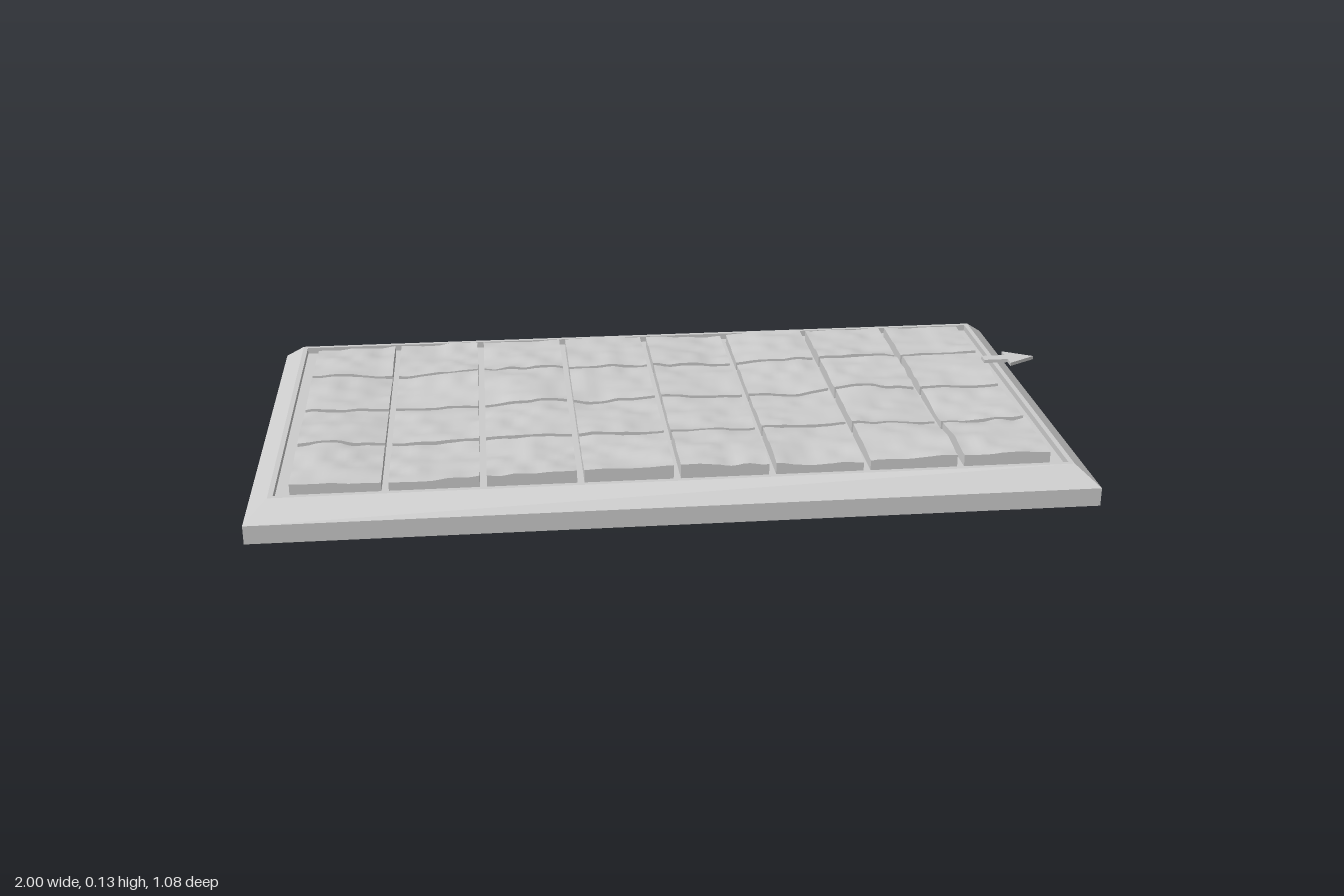
import * as THREE from 'three';

const CX = -0.012; // the slab sits slightly off centre because the arrow overhangs
const TILE_BOTTOM = 0.045;
const grey = new THREE.MeshStandardMaterial({ color: 0xcccccc });
const shell = new THREE.MeshStandardMaterial({ color: 0xcccccc, side: THREE.DoubleSide, flatShading: true });

// Open-bottomed tray: rectangular loops [halfX, halfZ, y] joined from the ground up and inwards
function trayGeometry() {
  const loops = [
    [0.988, 0.538, 0],
    [0.988, 0.538, 0.045],
    [0.935, 0.488, 0.088],
    [0.923, 0.476, 0.088],
    [0.923, 0.476, 0.072],
  ];
  const corners = ([hx, hz, y]) => [[-hx, y, hz], [hx, y, hz], [hx, y, -hz], [-hx, y, -hz]];
  const pos = [];
  const quad = (a, b, c, d) => pos.push(...a, ...b, ...c, ...a, ...c, ...d);
  for (let i = 0; i < loops.length - 1; i++) {
    const low = corners(loops[i]), high = corners(loops[i + 1]);
    for (let k = 0; k < 4; k++) {
      const n = (k + 1) % 4;
      quad(low[k], low[n], high[n], high[k]);
    }
  }
  quad(...corners(loops[loops.length - 1])); // recessed floor
  const g = new THREE.BufferGeometry();
  g.setAttribute('position', new THREE.Float32BufferAttribute(pos, 3));
  g.computeVertexNormals();
  return g;
}

// Smooth value noise for worn stone
function hash(i, j) {
  const s = Math.sin(i * 127.1 + j * 311.7) * 43758.5453;
  return s - Math.floor(s);
}
function noise(x, z) {
  const i = Math.floor(x), j = Math.floor(z);
  const ease = (t) => t * t * (3 - 2 * t);
  const u = ease(x - i), v = ease(z - j);
  const near = THREE.MathUtils.lerp(hash(i, j), hash(i + 1, j), u);
  const far = THREE.MathUtils.lerp(hash(i, j + 1), hash(i + 1, j + 1), u);
  return THREE.MathUtils.lerp(near, far, v);
}
const stoneHeight = (x, z) =>
  0.084 + 0.02 * noise(x * 6 + 40, z * 6 + 40) + 0.009 * noise(x * 26 + 90, z * 26 + 90);

// One paving stone: a block through the floor whose top follows the stone height
function tileGeometry(cx, cz) {
  const g = new THREE.BoxGeometry(0.208, 0.02, 0.208, 14, 1, 14);
  const p = g.attributes.position;
  for (let i = 0; i < p.count; i++) {
    const x = p.getX(i), z = p.getZ(i);
    p.setY(i, p.getY(i) > 0 ? stoneHeight(x + cx, z + cz) : TILE_BOTTOM);
  }
  g.computeVertexNormals();
  return g;
}

// Flat arrow pointing to +x
function arrowGeometry() {
  const s = new THREE.Shape([
    [0, -0.015], [0.063, -0.015], [0.063, -0.043], [0.1365, 0],
    [0.063, 0.043], [0.063, 0.015], [0, 0.015],
  ].map(([x, y]) => new THREE.Vector2(x, y)));
  return new THREE.ExtrudeGeometry(s, { depth: 0.009, bevelEnabled: false }).rotateX(-Math.PI / 2);
}

export function createModel() {
  const model = new THREE.Group();
  model.name = 'pavedBase';

  const tray = new THREE.Mesh(trayGeometry(), shell);
  tray.name = 'bevelledTray';
  tray.position.x = CX;
  model.add(tray);

  const tiles = new THREE.Group();
  tiles.name = 'pavingStones';
  const pitch = 0.2246;
  for (let row = 0; row < 4; row++) {
    for (let col = 0; col < 8; col++) {
      const x = CX + (col - 3.5) * pitch, z = (row - 1.5) * pitch;
      const tile = new THREE.Mesh(tileGeometry(x, z), grey);
      tile.name = `stone_${row + 1}_${col + 1}`;
      tile.position.set(x, 0, z);
      tiles.add(tile);
    }
  }
  model.add(tiles);

  const arrow = new THREE.Mesh(arrowGeometry(), grey);
  arrow.name = 'directionArrow';
  arrow.position.set(0.8635, 0.119, -0.1125);
  model.add(arrow);

  return model;
}
